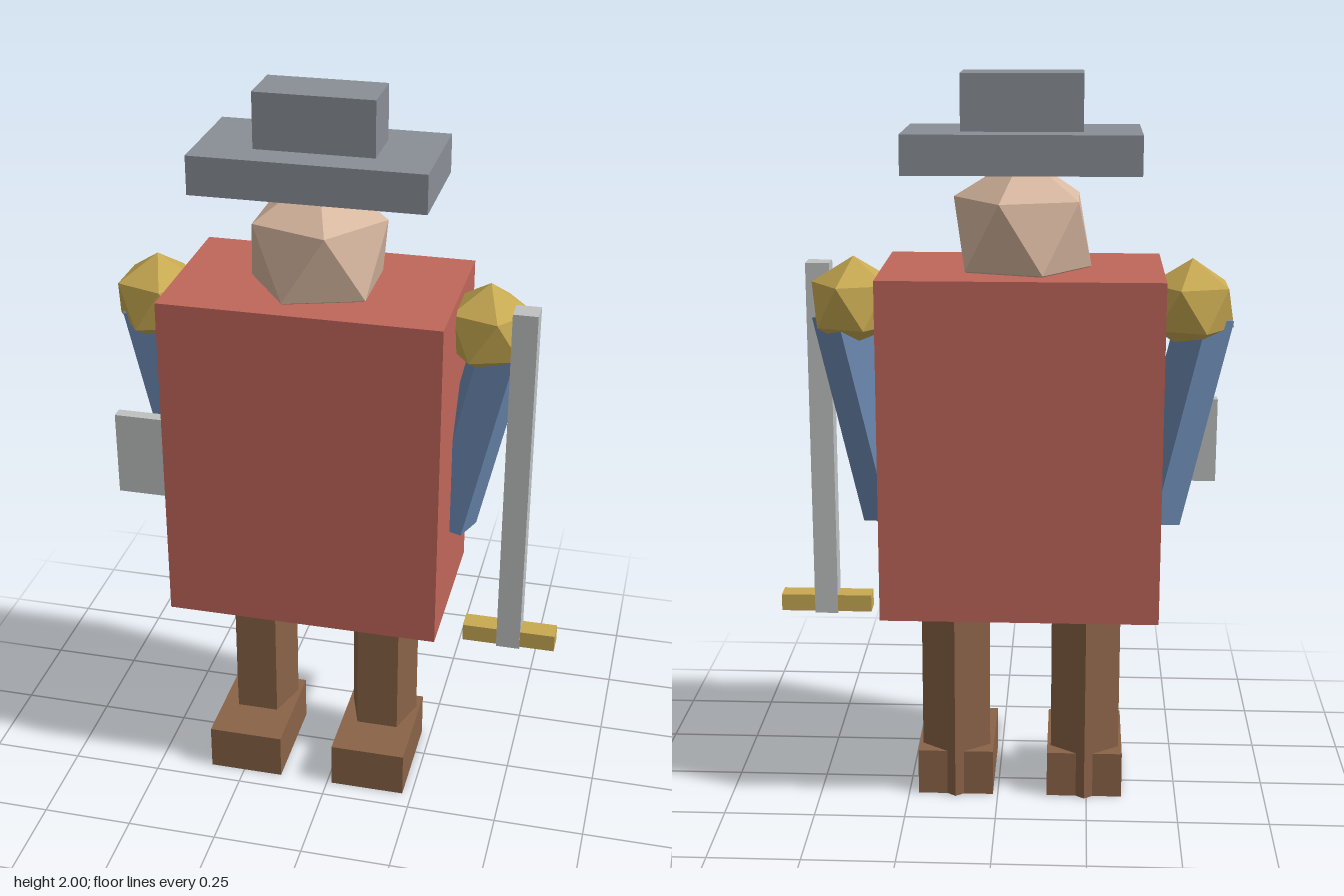
import * as THREE from 'three';

const mat = (name, color) => {
  const m = new THREE.MeshStandardMaterial({ color });
  m.name = name;
  return m;
};

export function createModel() {
  const red = mat('red cloth', 0xc0665a);
  const brown = mat('brown leather', 0x8a6348);
  const silver = mat('silver', 0xbfc2c2);
  const grey = mat('hat grey', 0x8a8f96);
  const skin = mat('skin', 0xd8b8a0);
  const gold = mat('gold', 0xc8aa52);
  const blue = mat('blue sleeve', 0x6b88b0);

  const model = new THREE.Group();
  model.name = 'figure';
  const body = -0.0625; // x of the body's middle; the sword shifts it off centre

  const add = (name, geometry, material, x, y, z) => {
    const mesh = new THREE.Mesh(geometry, material);
    mesh.name = name;
    mesh.position.set(x, y, z);
    model.add(mesh);
    return mesh;
  };

  // Box given by its limits on each axis
  const box = (name, material, [x0, x1], [y0, y1], [z0, z1]) =>
    add(name, new THREE.BoxGeometry(x1 - x0, y1 - y0, z1 - z0), material,
      (x0 + x1) / 2, (y0 + y1) / 2, (z0 + z1) / 2);

  // Icosahedron standing on a corner
  const ball = (r) => new THREE.IcosahedronGeometry(r, 0)
    .rotateZ(-Math.atan(2 / (1 + Math.sqrt(5))));

  // Five-sided flat-faced post, flat to the front and edge to the back
  const post = (r, h) => {
    const g = new THREE.CylinderGeometry(r, r, h, 5, 1, false, Math.PI).toNonIndexed();
    g.computeVertexNormals();
    return g;
  };

  // Torso, head and hat
  box('torso', red, [-0.435, 0.31], [0.57, 1.49], [-0.235, 0.235]);
  add('head', ball(0.204), skin, body, 1.585, 0);
  box('hatBrim', grey, [-0.37, 0.245], [1.75, 1.853], [-0.185, 0.137]);
  box('hatCrown', grey, [-0.22, 0.096], [1.853, 2], [-0.1, 0.05]);

  // Limbs, one set per side
  for (const [side, s] of [['left', 1], ['right', -1]]) {
    const hip = body + s * 0.181;
    add(side + 'Leg', post(0.1, 0.62), brown, hip, 0.31, -0.02);
    box(side + 'Foot', brown, [hip - 0.105, hip + 0.105], [0, 0.13], [-0.103, 0.195]);

    add(side + 'Shoulder', ball(0.127), gold, body + s * 0.449, 1.393, -0.0225);
    const arm = add(side + 'Arm', post(0.08, 0.58), blue, body + s * 0.422, 1.09, -0.0225);
    arm.rotation.z = -s * 0.223;
  }

  // Plate at the right hand
  box('shield', silver, [-0.6, -0.365], [0.87, 1.105], [0.108, 0.142]);

  // Sword beside the left hand, hilt down
  box('swordBlade', silver, [0.46, 0.525], [0.487, 1.49], [0.032, 0.095]);
  box('swordGuard', gold, [0.365, 0.62], [0.492, 0.54], [0.034, 0.092]);

  return model;
}
